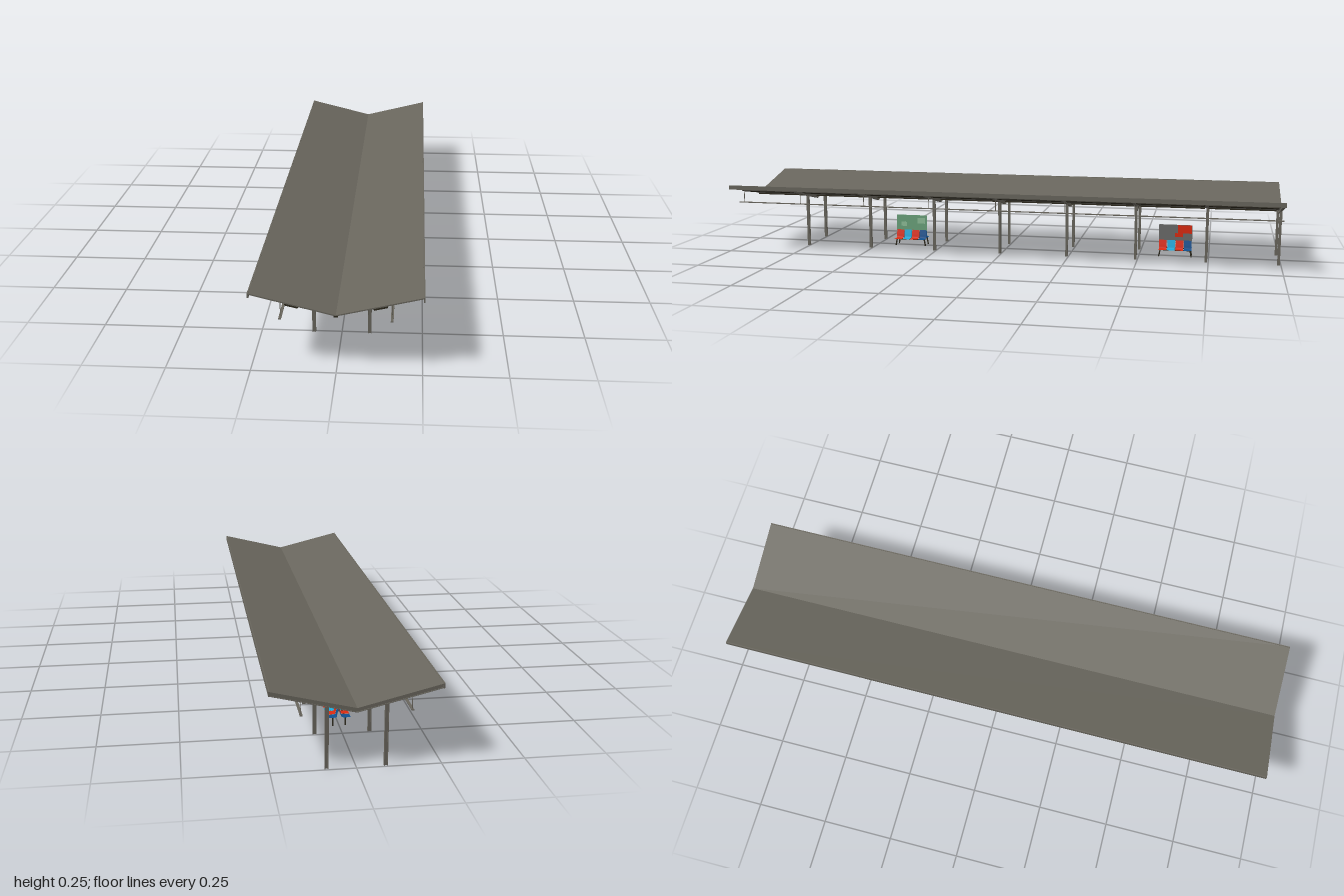
import * as THREE from 'three';

const mat = (name, color, side = THREE.FrontSide) => {
  const m = new THREE.MeshStandardMaterial({ color, side });
  m.name = name;
  return m;
};

export function createModel() {
  const steel = mat('warm grey steel', 0x69665d);
  const dark = mat('dark channel', 0x2c281c);
  const red = mat('red', 0xdc2a10, THREE.DoubleSide);
  const cyan = mat('cyan', 0x1aa9da, THREE.DoubleSide);
  const blue = mat('blue', 0x10508e, THREE.DoubleSide);
  const green = mat('sign green', 0x6ca47c);
  const pale = mat('pale green', 0x8fc09a);
  const grey = mat('sign grey', 0x6c6c6a);
  const model = new THREE.Group();

  const add = (parent, name, geo, material, x = 0, y = 0, z = 0) => {
    const mesh = new THREE.Mesh(geo, material);
    mesh.name = name;
    mesh.position.set(x, y, z);
    parent.add(mesh);
    return mesh;
  };
  const box = (parent, name, m, w, h, d, x, y, z) =>
    add(parent, name, new THREE.BoxGeometry(w, h, d), m, x, y, z);

  // Height of the roof top above x
  const half = 0.252, ridge = 0.185, rise = 0.062 / half;
  const roofY = (x) => ridge + rise * Math.abs(x);

  // Folded band between two depths under the roof, extruded along z
  const vee = (name, m, top, bottom, z0, z1, w = half) => {
    const s = new THREE.Shape();
    s.moveTo(-w, roofY(w) - top);
    s.lineTo(-w, roofY(w) - bottom);
    s.lineTo(0, ridge - bottom);
    s.lineTo(w, roofY(w) - bottom);
    s.lineTo(w, roofY(w) - top);
    s.lineTo(0, ridge - top);
    const g = new THREE.ExtrudeGeometry(s, { depth: z1 - z0, bevelEnabled: false });
    add(model, name, g, m, 0, 0, z0);
  };

  // Roof sheet and long edge trims
  vee('roofSheet', steel, 0, 0.004, -1, 0.995);
  for (const s of [-1, 1]) {
    box(model, 'edgeTrim', steel, 0.004, 0.015, 1.995, s * 0.25, 0.2392, -0.0025);
  }

  // Frames: folded beam, flanges and two I-section posts
  const frames = Array.from({ length: 8 }, (_, i) => 0.755 - i * 0.2495);
  for (const z of frames) {
    vee('roofBeam', steel, 0.004, 0.015, z - 0.002, z + 0.002);
    vee('beamFlange', steel, 0.0135, 0.0155, z - 0.0045, z + 0.0045);
    for (const s of [-1, 1]) {
      const post = new THREE.Group();
      post.name = 'post';
      post.position.set(s * 0.0865, 0.096, z);
      box(post, 'postWeb', steel, 0.009, 0.192, 0.002, 0, 0, 0);
      for (const f of [-1, 1]) box(post, 'postFlange', steel, 0.0022, 0.192, 0.009, f * 0.0045, 0, 0);
      model.add(post);
    }
  }

  // Dark channels below the sheet, broken at each beam
  const stops = [0.997, ...frames];
  for (let i = 0; i < stops.length - 1; i++) {
    const len = stops[i] - stops[i + 1] - 0.012;
    const z = (stops[i] + stops[i + 1]) / 2 + 0.004;
    for (const s of [-1, 1]) {
      const strip = box(model, 'channel', dark, 0.04, 0.005, len, s * 0.127, roofY(0.127) - 0.0068, z);
      strip.rotation.z = s * Math.atan(rise);
    }
    box(model, 'centreChannel', dark, 0.012, 0.004, len, 0, ridge - 0.005, z);
  }

  // Hanging rails and their rods
  for (const s of [-1, 1]) {
    box(model, 'hangingRail', steel, 0.008, 0.003, 2, s * 0.16, 0.1705, 0);
    for (const z of [0.98, ...frames]) {
      box(model, 'railRod', steel, 0.002, 0.05, 0.002, s * 0.16, 0.1955, z);
    }
  }

  // Curved seat shell swept from a few profile points
  const seatShell = (width) => {
    const curve = new THREE.CatmullRomCurve3([
      [0.037, 0.027], [0.024, 0.0265], [0.0085, 0.028], [0.0055, 0.04], [0.0015, 0.058],
    ].map(([x, y]) => new THREE.Vector3(x, y, 0)), false, 'catmullrom', 0.2);
    const g = new THREE.PlaneGeometry(1, width, 16, 1);
    const p = g.attributes.position;
    for (let i = 0; i < p.count; i++) {
      const c = curve.getPoint(p.getX(i) + 0.5);
      p.setXYZ(i, c.x, c.y, p.getY(i));
    }
    g.computeVertexNormals();
    return g;
  };

  // Back-to-back benches with a sign board between them
  const bench = (z, board) => {
    const g = new THREE.Group();
    g.name = 'bench';
    g.position.z = z;
    const shell = seatShell(0.027);
    for (const s of [-1, 1]) {
      const side = new THREE.Group();
      side.name = 'seatRow';
      side.rotation.y = s > 0 ? 0 : Math.PI;
      [red, cyan, red, blue].forEach((m, i) => add(side, 'seat', shell, m, 0, 0, s * (0.045 - i * 0.03)));
      box(side, 'seatBar', dark, 0.004, 0.003, 0.115, 0.02, 0.0245, 0);
      for (const e of [-1, 1]) {
        const leg = box(side, 'leg', dark, 0.0045, 0.026, 0.004, 0.02, 0.013, e * 0.056);
        leg.rotation.x = -e * 0.2;
      }
      g.add(side);
    }
    box(g, 'signBoard', board, 0.002, 0.06, 0.12, 0, 0.085, 0);
    model.add(g);
    return g;
  };

  const front = bench(0.37, green);
  const rear = bench(-0.63, grey);
  for (const s of [-1, 1]) {
    // Painted panels on both faces of the boards
    box(front, 'signPanel', pale, 0.0006, 0.022, 0.03, s * 0.0012, 0.094, -0.038);
    box(front, 'signPanel', pale, 0.0006, 0.016, 0.022, s * 0.0012, 0.08, 0.03);
    box(rear, 'redPanel', red, 0.0006, 0.03, 0.05, s * 0.0012, 0.099, -0.033);
    box(rear, 'redPanel', red, 0.0006, 0.014, 0.028, s * 0.0012, 0.077, -0.012);
  }
  return model;
}
